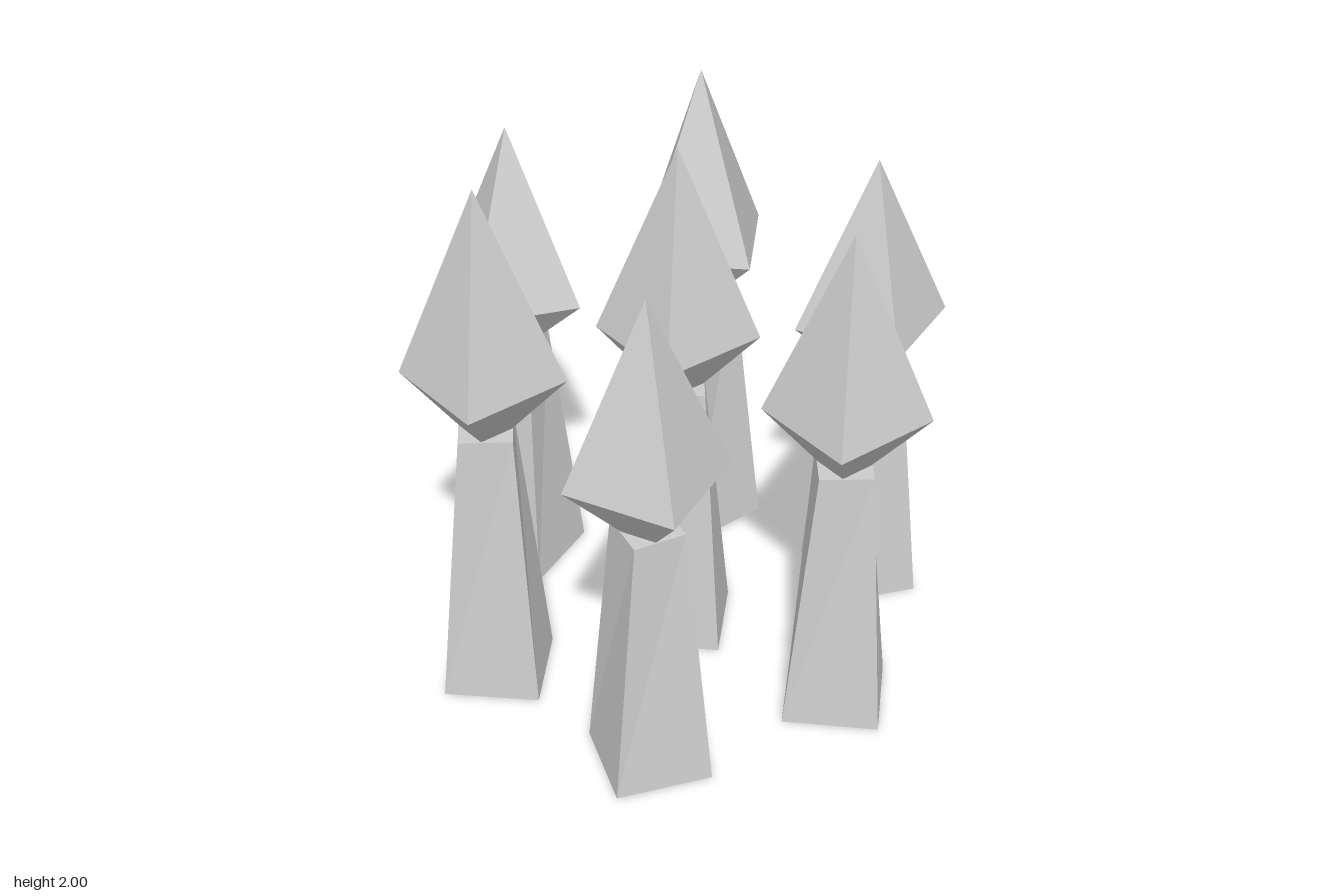
import * as THREE from 'three';

const stone = new THREE.MeshStandardMaterial({ color: 0xcccccc });
stone.name = 'stoneGrey';
stone.flatShading = true;
stone.side = THREE.DoubleSide;

const BASE_R = 0.243, TOP_R = 0.132, CROWN_R = 0.287, NECK_R = 0.09;
const TWIST = 0.15; // the post's top square is turned slightly

// x, z, total height, turn in degrees
const spires = [
  [0.15, 0.715, 1.92, 0],
  [-0.03, 0.03, 2.0, 0],
  [-0.72, -0.152, 2.0, 1.5],
  [-0.23, -0.70, 1.84, -21],
  [0.697, 0.227, 1.80, 22.6],
  [0.467, -0.475, 1.94, -44],
  [-0.568, 0.563, 1.88, 25],
];

function addMesh(group, name, geometry) {
  const mesh = new THREE.Mesh(geometry, stone);
  mesh.name = name;
  group.add(mesh);
}

// Hollow tapered square post, top ring twisted against the base
function postGeometry(h) {
  const g = new THREE.CylinderGeometry(TOP_R, BASE_R, h, 4, 1, true);
  g.translate(0, h / 2, 0);
  const p = g.attributes.position;
  const v = new THREE.Vector3();
  const up = new THREE.Vector3(0, 1, 0);
  for (let i = 0; i < p.count; i++) {
    v.fromBufferAttribute(p, i);
    v.applyAxisAngle(up, TWIST * v.y / h);
    p.setXYZ(i, v.x, v.y, v.z);
  }
  g.computeVertexNormals();
  return g;
}

function makeSpire(height, turn) {
  const spire = new THREE.Group();
  const postTop = height * 0.537, widest = height * 0.641;
  addMesh(spire, 'post', postGeometry(postTop));

  // Flat lid on the post
  const lid = new THREE.CircleGeometry(TOP_R, 4);
  lid.rotateX(-Math.PI / 2).rotateY(TWIST).translate(0, postTop, 0);
  addMesh(spire, 'postTop', lid);

  // Four-sided pointed crown, turned 45 degrees to the post
  const profile = [[NECK_R, postTop], [CROWN_R, widest], [0, height]]
    .map(([r, y]) => new THREE.Vector2(r, y));
  addMesh(spire, 'crown', new THREE.LatheGeometry(profile, 4, Math.PI / 4));

  spire.rotation.y = THREE.MathUtils.degToRad(turn);
  return spire;
}

export function createModel() {
  const model = new THREE.Group();
  model.name = 'spireCluster';
  spires.forEach(([x, z, height, turn], i) => {
    const spire = makeSpire(height, turn);
    spire.name = `spire${i + 1}`;
    spire.position.set(x, 0, z);
    model.add(spire);
  });
  return model;
}
